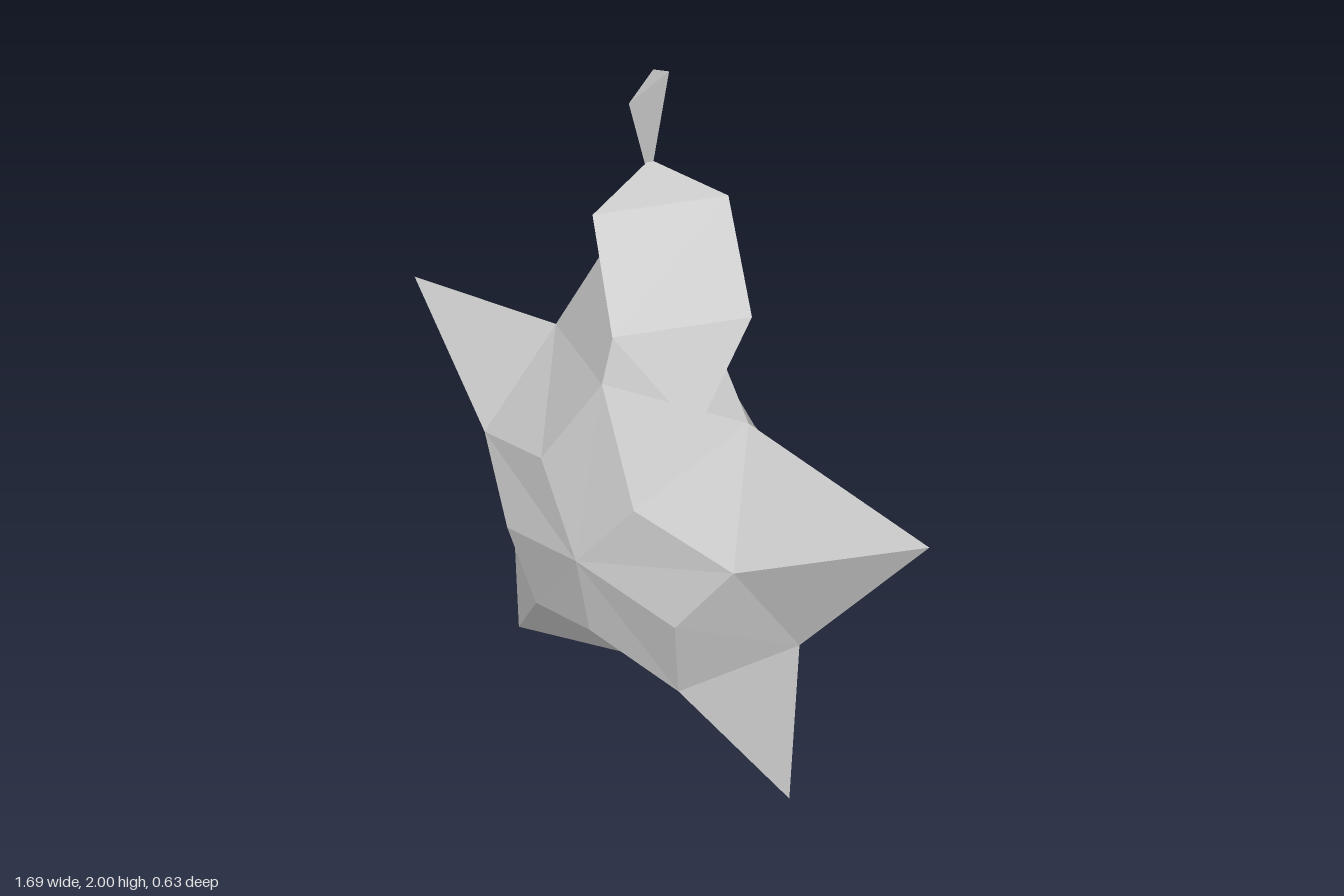
import * as THREE from 'three';

// Flat-faced mesh from triangles, each a list of three [x, y, z] corners
function facetedMesh(name, triangles, material) {
  const geometry = new THREE.BufferGeometry();
  geometry.setAttribute('position', new THREE.Float32BufferAttribute(triangles.flat(2), 3));
  geometry.computeVertexNormals();
  const mesh = new THREE.Mesh(geometry, material);
  mesh.name = name;
  return mesh;
}

export function createModel() {
  const group = new THREE.Group();
  group.name = 'starFruit';

  const grey = new THREE.MeshStandardMaterial({ color: 0xcccccc, side: THREE.DoubleSide });
  grey.name = 'pale grey';

  // Star body: five arms, counter-clockwise from the top
  const midZ = -0.04;
  const tips = [[0, 1.71], [-0.845, 1.08], [-0.505, 0.005], [0.505, 0.005], [0.845, 1.08]];
  const ridges = [[0, 1.22], [-0.42, 0.865], [-0.255, 0.365], [0.255, 0.365], [0.42, 0.865]];
  const notches = [[-0.315, 1.165], [-0.505, 0.565], [0, 0.2], [0.505, 0.565], [0.315, 1.165]];
  const valleys = [[-0.155, 0.95], [-0.29, 0.65], [0, 0.465], [0.29, 0.65], [0.155, 0.95]];
  const body = [];
  for (const side of [1, -1]) {
    const at = ([x, y], depth) => [x, y, midZ + side * depth];
    const add = (a, b, c) => body.push(side > 0 ? [a, b, c] : [a, c, b]);
    const centre = at([0, 0.73], 0.275);
    for (let i = 0; i < 5; i++) {
      const tip = at(tips[i], 0);
      const ridge = at(ridges[i], 0.17);
      const next = { notch: at(notches[i], 0), valley: at(valleys[i], 0.23) };
      const j = (i + 4) % 5;
      const prev = { notch: at(notches[j], 0), valley: at(valleys[j], 0.23) };
      add(tip, next.notch, ridge);
      add(next.notch, next.valley, ridge);
      add(next.valley, centre, ridge);
      add(tip, ridge, prev.notch);
      add(prev.notch, ridge, prev.valley);
      add(prev.valley, ridge, centre);
    }
  }
  group.add(facetedMesh('starBody', body, grey));

  // Stem: three-sided, widening to a slanted cap
  const foot = [0, 1.7, midZ];
  const back = [-0.035, 1.955, -0.09];
  const front = [-0.01, 1.922, 0.02];
  const high = [0.055, 2, -0.04];
  group.add(facetedMesh('stem', [
    [foot, front, back], [foot, high, front], [foot, back, high], [back, front, high],
  ], grey));

  // Leaf: a thin sheet folded along two creases
  const root = [0, 1.76, midZ];
  const inner = [[0.22, 1.745, -0.055], [0.405, 1.57, 0.08]];
  const outer = [[0.02, 1.718, 0.175], [0.205, 1.545, 0.315]];
  const point = [0.395, 1.345, 0.25];
  group.add(facetedMesh('leaf', [
    [root, outer[0], inner[0]],
    [inner[0], outer[0], outer[1]],
    [inner[0], outer[1], inner[1]],
    [inner[1], outer[1], point],
  ], grey));

  return group;
}
